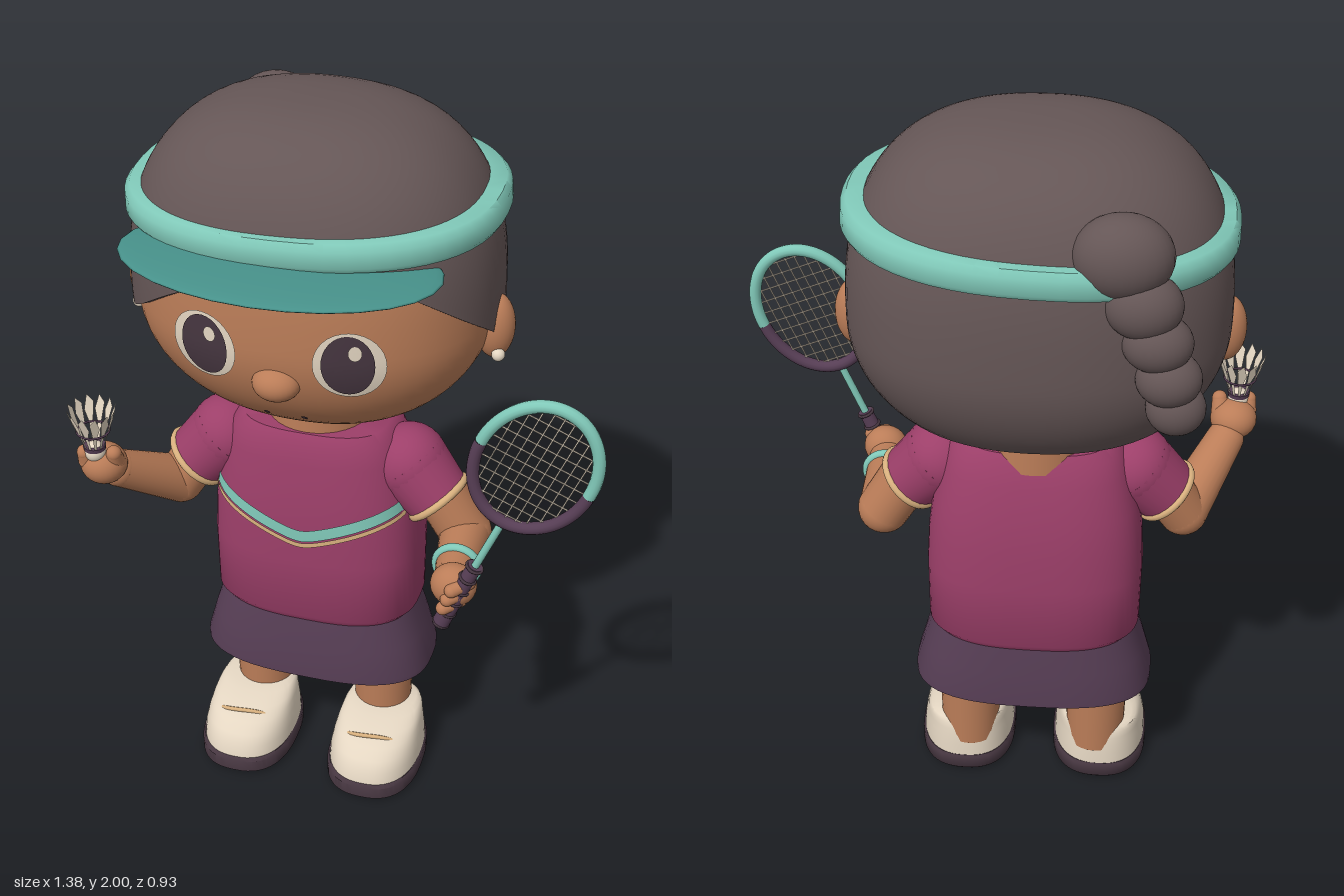
import * as THREE from 'three';
import { toCreasedNormals } from 'three/addons/utils/BufferGeometryUtils.js';

const mat = (name, color, side = THREE.FrontSide) => {
  const m = new THREE.MeshStandardMaterial({ color, side });
  m.name = name;
  return m;
};
const skin = mat('skin', 0xbb7d58), hair = mat('hair brown', 0x655656, THREE.DoubleSide);
const magenta = mat('shirt magenta', 0x9c3f69), plum = mat('plum', 0x573e55);
const teal = mat('light teal', 0x80c8b8, THREE.DoubleSide), darkTeal = mat('visor teal', 0x47918a);
const cream = mat('cream', 0xe4d6c2, THREE.DoubleSide), gold = mat('gold trim', 0xd8b07e, THREE.DoubleSide);
const navy = mat('navy', 0x414c76), dark = mat('dark plum', 0x463640);

const CX = -0.105; // body axis
const V = (x, y, z) => new THREE.Vector3(x, y, z);
const spow = (v, e) => Math.sign(v) * Math.abs(v) ** e;

function add(parent, name, geo, material, pos) {
  const m = new THREE.Mesh(geo, material);
  m.name = name;
  if (pos) m.position.set(...pos);
  parent.add(m);
  return m;
}
const ball = (parent, name, material, pos, rx, ry = rx, rz = rx) =>
  add(parent, name, new THREE.SphereGeometry(1, 28, 20).scale(rx, ry, rz), material, pos);

// Grid surface from fn(u, v); u wraps when closed
function surface(nu, nv, fn, closed = true) {
  const pos = [], idx = [], cols = closed ? nu : nu + 1;
  for (let i = 0; i <= nv; i++) for (let j = 0; j < cols; j++) pos.push(...fn(j / nu, i / nv));
  for (let i = 0; i < nv; i++) for (let j = 0; j < nu; j++) {
    const k = (j + 1) % cols, a = i * cols + j, b = i * cols + k;
    idx.push(a, b, a + cols, b, b + cols, a + cols);
  }
  const g = new THREE.BufferGeometry();
  g.setAttribute('position', new THREE.Float32BufferAttribute(pos, 3));
  g.setIndex(idx);
  return toCreasedNormals(g, 0.8);
}
// Stack of superellipse rings [y, halfWidth, zFront, zBack], bottom to top
function loft(rings, p, cap = true) {
  if (cap) {
    const end = ([y, , f, b]) => [y, 0, (f + b) / 2, (f + b) / 2];
    rings = [end(rings[0]), ...rings, end(rings.at(-1))];
  }
  return surface(56, rings.length - 1, (u, v) => {
    const [y, h, f, b] = rings[Math.round(v * (rings.length - 1))], t = (u * 2 - 1) * Math.PI;
    return [h * spow(Math.sin(t), 2 / p), y, (f + b) / 2 + (f - b) / 2 * spow(Math.cos(t), 2 / p)];
  });
}
// Tapered limb with rounded ends
function limb(parent, name, material, a, b, ra, rb, round = true) {
  const d = b.clone().sub(a), g = new THREE.Group();
  g.name = name;
  const c = add(g, name + 'Tube', new THREE.CylinderGeometry(rb, ra, d.length(), 24), material);
  c.position.copy(a).addScaledVector(d, 0.5);
  c.quaternion.setFromUnitVectors(V(0, 1, 0), d.clone().normalize());
  ball(g, name + 'Joint', material, a.toArray(), ra);
  if (round) ball(g, name + 'End', material, b.toArray(), rb);
  parent.add(g);
  return c.quaternion;
}

// Head: superellipsoid, g grows it outwards
const HY = 1.5, HZ = -0.06, HP = 2.3;
const section = c => { const q = c > 0 ? 2.7 : 2; return (1 - Math.min(1, Math.abs(c)) ** q) ** (1 / q); };
const headHeight = (c, g) => (c > 0 ? 0.485 : 0.345) + g;
function headPoint(phi, psi, g) {
  const c = Math.cos(psi), k = section(c);
  return [(0.452 + g) * k * spow(Math.sin(phi), 2 / HP), HY + c * headHeight(c, g),
    HZ + (0.363 + g) * k * spow(Math.cos(phi), 2 / HP)];
}
function faceZ(x, y) {
  const k = section((y - HY) / headHeight(y - HY, 0));
  return HZ + 0.363 * Math.max(0, k ** HP - Math.abs(x / 0.452) ** HP) ** (1 / HP);
}
const facePatch = (x, y, rx, ry, off) => surface(32, 6, (u, v) => {
  const t = u * Math.PI * 2, px = x + rx * (1 - v) * Math.cos(t), py = y + ry * (1 - v) * Math.sin(t);
  return [px, py, faceZ(px, py) + off];
});

function buildHead() {
  const g = new THREE.Group();
  g.name = 'head';
  add(g, 'skull', surface(64, 40, (u, v) => headPoint((u * 2 - 1) * Math.PI, (1 - v) * Math.PI, 0)), skin);
  // Hair cap with swept fringe: (degrees from front, hairline height)
  const line = new THREE.SplineCurve([[-180, 1.25], [-140, 1.27], [-108, 1.34], [-72, 1.45], [-52, 1.51], [-26, 1.62],
    [-5, 1.675], [22, 1.705], [40, 1.66], [74, 1.51], [108, 1.35], [140, 1.27], [180, 1.25]]
    .map(p => new THREE.Vector2(...p)));
  add(g, 'hairCap', surface(96, 30, (u, v) => {
    const { x, y } = line.getPoint(u), end = Math.acos((y - HY) / headHeight(y - HY, 0.015));
    const t = Math.max(0, v * 30 - 1) / 29;
    return headPoint(x * Math.PI / 180, end * (1 - t), v === 0 ? -0.01 : 0.015);
  }), hair);
  // Braid
  [[-0.2, 1.81, -0.365, 0.115, 0.1, 0.085], [-0.25, 1.7, -0.385, 0.09, 0.08, 0.07], [-0.285, 1.61, -0.392, 0.082, 0.07, 0.066],
    [-0.315, 1.52, -0.395, 0.077, 0.068, 0.066], [-0.335, 1.44, -0.39, 0.07, 0.068, 0.06]]
    .forEach(([x, y, z, ...r], i) => ball(g, 'braid' + (i + 1), hair, [x, y, z], ...r));
  // Headband and visor
  const band = add(g, 'headband', loft([[1.735, 0.42], [1.732, 0.462], [1.745, 0.47], [1.785, 0.468], [1.8, 0.455], [1.803, 0.4]]
    .map(([y, h]) => [y - 1.765, h, h - 0.155, -h + 0.03]), HP, false), teal, [0, 1.762, 0]);
  band.rotation.z = 0.035;
  ball(g, 'visor', darkTeal, [0, 1.716, 0.245], 0.39, 0.02, 0.22);
  for (const s of [-1, 1]) {
    ball(g, 'ear', skin, [s * 0.455, 1.457, -0.05], 0.05, 0.088, 0.048);
    ball(g, 'earring', cream, [s * 0.473, 1.395, -0.015], 0.017);
    add(g, 'eyeWhite', facePatch(s * 0.18, 1.485, 0.085, 0.092, 0.004), cream);
    add(g, 'iris', facePatch(s * 0.178, 1.487, 0.062, 0.083, 0.007), dark);
    add(g, 'eyeGlint', facePatch(s * 0.178 + 0.018, 1.525, 0.016, 0.02, 0.01), cream);
    add(g, 'mouthCorner', facePatch(s * 0.048, 1.28, 0.008, 0.008, 0.004), dark);
  }
  ball(g, 'nose', skin, [0, 1.41, 0.285], 0.06, 0.045, 0.05);
  return g;
}

const TORSO = [[0.54, 0.265, 0.115, -0.23], [0.565, 0.285, 0.13, -0.245], [0.75, 0.286, 0.132, -0.247],
  [0.86, 0.28, 0.13, -0.242], [0.95, 0.268, 0.125, -0.232], [1.05, 0.242, 0.11, -0.21], [1.11, 0.222, 0.1, -0.19], [1.135, 0.195, 0.085, -0.175]];
function torsoZ(x, y) {
  const i = TORSO.findIndex(r => r[0] > y), a = TORSO[i - 1], b = TORSO[i], t = (y - a[0]) / (b[0] - a[0]);
  const [, h, f, k] = a.map((v, j) => v + (b[j] - v) * t);
  return (f + k) / 2 + (f - k) / 2 * Math.max(0, 1 - Math.abs(x / h) ** 2.8) ** (1 / 2.8);
}

function buildBody() {
  const g = new THREE.Group();
  g.name = 'body';
  add(g, 'neck', new THREE.CylinderGeometry(0.135, 0.14, 0.14, 32), skin, [0, 1.16, -0.06]);
  add(g, 'shirt', loft(TORSO, 2.8), magenta);
  add(g, 'skirt', loft([[0.355, 0.325, 0.14, -0.25], [0.37, 0.325, 0.14, -0.25], [0.46, 0.3, 0.132, -0.243], [0.55, 0.272, 0.115, -0.23]], 2.8), plum);
  // Chevron stripes wrapped on the chest
  const stripe = (name, top, height, material) => add(g, name, surface(48, 2, (u, v) => {
    const x = (u * 2 - 1) * 0.262, y = top + 0.095 * (Math.hypot(x, 0.03) - 0.03) / 0.234 - height * (1 - v);
    return [x, y, torsoZ(x, y) + 0.006];
  }, false), material);
  stripe('tealChevron', 0.86, 0.035, teal);
  stripe('goldChevron', 0.82, 0.014, gold);
  for (const s of [-1, 1]) {
    const shoulder = V(s * 0.25, 1.025, -0.03), cuff = V(s * 0.335, 0.935, -0.015);
    const q = limb(g, 'sleeve', magenta, shoulder, cuff, 0.103, 0.088, false);
    add(g, 'cuffTrim', new THREE.TorusGeometry(0.085, 0.011, 10, 36).rotateX(Math.PI / 2), gold, cuff.toArray()).quaternion.copy(q);
    // Leg, shorts and shoe
    const x = s * 0.172;
    add(g, 'shortsLeg', loft([[0.29, 0.095, 0.04, -0.15], [0.3, 0.112, 0.057, -0.167], [0.325, 0.116, 0.061, -0.171], [0.37, 0.11, 0.055, -0.165]], 2), navy, [x, 0, 0]);
    add(g, 'leg', new THREE.CylinderGeometry(0.085, 0.08, 0.24, 28), skin, [s * 0.178, 0.225, -0.067]);
    const shoe = new THREE.Group();
    shoe.name = 'shoe';
    shoe.position.x = s * 0.19;
    add(shoe, 'sole', loft([[0.004, 0.125, 0.205, -0.143], [0.014, 0.134, 0.217, -0.152], [0.05, 0.134, 0.217, -0.152], [0.057, 0.128, 0.21, -0.147]], 2.5), dark);
    add(shoe, 'upper', loft([[0.05, 0.129, 0.208, -0.147], [0.09, 0.127, 0.2, -0.145], [0.12, 0.122, 0.18, -0.142], [0.143, 0.117, 0.15, -0.139],
      [0.16, 0.112, 0.105, -0.135], [0.172, 0.103, 0.05, -0.128], [0.177, 0.09, 0.02, -0.12]], 2.4), cream);
    const seam = new THREE.CatmullRomCurve3([V(-0.09, 0.136, 0.1), V(-0.04, 0.154, 0.118), V(0.03, 0.156, 0.113), V(0.09, 0.14, 0.098)]);
    add(shoe, 'shoeSeam', new THREE.TubeGeometry(seam, 20, 0.006, 8), gold);
    g.add(shoe);
  }
  return g;
}

function buildShuttlecock() {
  const g = new THREE.Group();
  g.name = 'shuttlecock';
  ball(g, 'cork', cream, [0, 0, 0], 0.028);
  add(g, 'corkBand', new THREE.CylinderGeometry(0.03, 0.028, 0.012, 20), plum, [0, 0.015, 0]);
  add(g, 'thread', new THREE.TorusGeometry(0.042, 0.003, 6, 30).rotateX(Math.PI / 2), plum, [0, 0.065, 0]);
  const blade = new THREE.Shape([[-0.003, 0], [0.003, 0], [0.005, 0.055], [0.014, 0.09], [0.004, 0.13], [-0.012, 0.11], [-0.005, 0.055]]
    .map(p => new THREE.Vector2(...p)));
  for (let i = 0; i < 12; i++) {
    const f = add(g, 'feather', new THREE.ShapeGeometry(blade).rotateX(0.31).translate(0, 0.012, 0.024), cream);
    f.rotation.y = i * Math.PI / 6;
  }
  return g;
}

function buildRacket() {
  const g = new THREE.Group();
  g.name = 'racket';
  const A = 0.183, B = 0.143;
  // Two-tone rim
  for (const [name, m, start] of [['upperRim', teal, 0], ['lowerRim', plum, Math.PI]]) {
    const pts = Array.from({ length: 25 }, (_, i) => start + i * Math.PI / 24).map(t => V(B * Math.cos(t), A * Math.sin(t), 0));
    add(g, name, new THREE.TubeGeometry(new THREE.CatmullRomCurve3(pts), 48, 0.016, 12), m);
  }
  // Strings
  for (let i = -5; i <= 5; i++) {
    const x = i * 0.026, y = i * 0.032;
    add(g, 'mainString', new THREE.CylinderGeometry(0.002, 0.002, 2 * A * Math.sqrt(1 - (x / B) ** 2), 6), cream, [x, 0, 0]);
    add(g, 'crossString', new THREE.CylinderGeometry(0.002, 0.002, 2 * B * Math.sqrt(1 - (y / A) ** 2), 6).rotateZ(Math.PI / 2), cream, [0, y, 0]);
  }
  add(g, 'shaft', new THREE.CylinderGeometry(0.01, 0.01, 0.18, 14), teal, [0, -0.27, 0]);
  add(g, 'grip', new THREE.CylinderGeometry(0.019, 0.023, 0.22, 20), plum, [0, -0.455, 0]);
  for (let i = 0; i < 6; i++)
    add(g, 'gripRing', new THREE.TorusGeometry(0.021, 0.004, 8, 24).rotateX(Math.PI / 2), dark, [0, -0.35 - i * 0.042, 0]);
  return g;
}

function buildArms() {
  const g = new THREE.Group();
  g.name = 'arms';
  // Right arm raises the shuttlecock
  const rElbow = V(-0.49, 0.86, 0.0), rWrist = V(-0.595, 0.985, 0.165);
  limb(g, 'rightUpperArm', skin, V(-0.43, 0.96, -0.02), rElbow, 0.07, 0.066);
  limb(g, 'rightForearm', skin, rElbow, rWrist, 0.066, 0.05);
  ball(g, 'rightHand', skin, [-0.615, 1.025, 0.205], 0.062, 0.055, 0.06);
  limb(g, 'rightThumb', skin, V(-0.58, 1.04, 0.21), V(-0.575, 1.075, 0.225), 0.026, 0.02);
  limb(g, 'rightFinger', skin, V(-0.65, 1.04, 0.225), V(-0.653, 1.07, 0.235), 0.026, 0.02);
  const shuttle = buildShuttlecock();
  shuttle.position.set(-0.625, 1.075, 0.23);
  g.add(shuttle);
  // Left arm holds the racket forward
  const lElbow = V(0.305, 0.835, -0.02), lWrist = V(0.325, 0.845, 0.19);
  limb(g, 'leftUpperArm', skin, V(0.23, 0.96, -0.02), lElbow, 0.072, 0.07);
  limb(g, 'leftForearm', skin, lElbow, lWrist, 0.068, 0.05);
  add(g, 'wristband', new THREE.TorusGeometry(0.055, 0.012, 12, 36), teal, [0.32, 0.842, 0.137]);
  ball(g, 'leftHand', skin, [0.335, 0.858, 0.235], 0.06, 0.058, 0.052);
  for (let i = 0; i < 3; i++)
    limb(g, 'leftFinger', skin, V(0.375 - i * 0.01, 0.885 - i * 0.03, 0.25), V(0.34 - i * 0.01, 0.875 - i * 0.03, 0.283), 0.02, 0.018);
  const racket = buildRacket();
  racket.position.set(0.525, 1.27, 0.262);
  racket.rotation.z = -0.39;
  g.add(racket);
  return g;
}

export function createModel() {
  const model = new THREE.Group();
  model.name = 'badmintonPlayer';
  const head = buildHead(), body = buildBody();
  head.position.x = body.position.x = CX;
  model.add(head, body, buildArms());
  return model;
}
